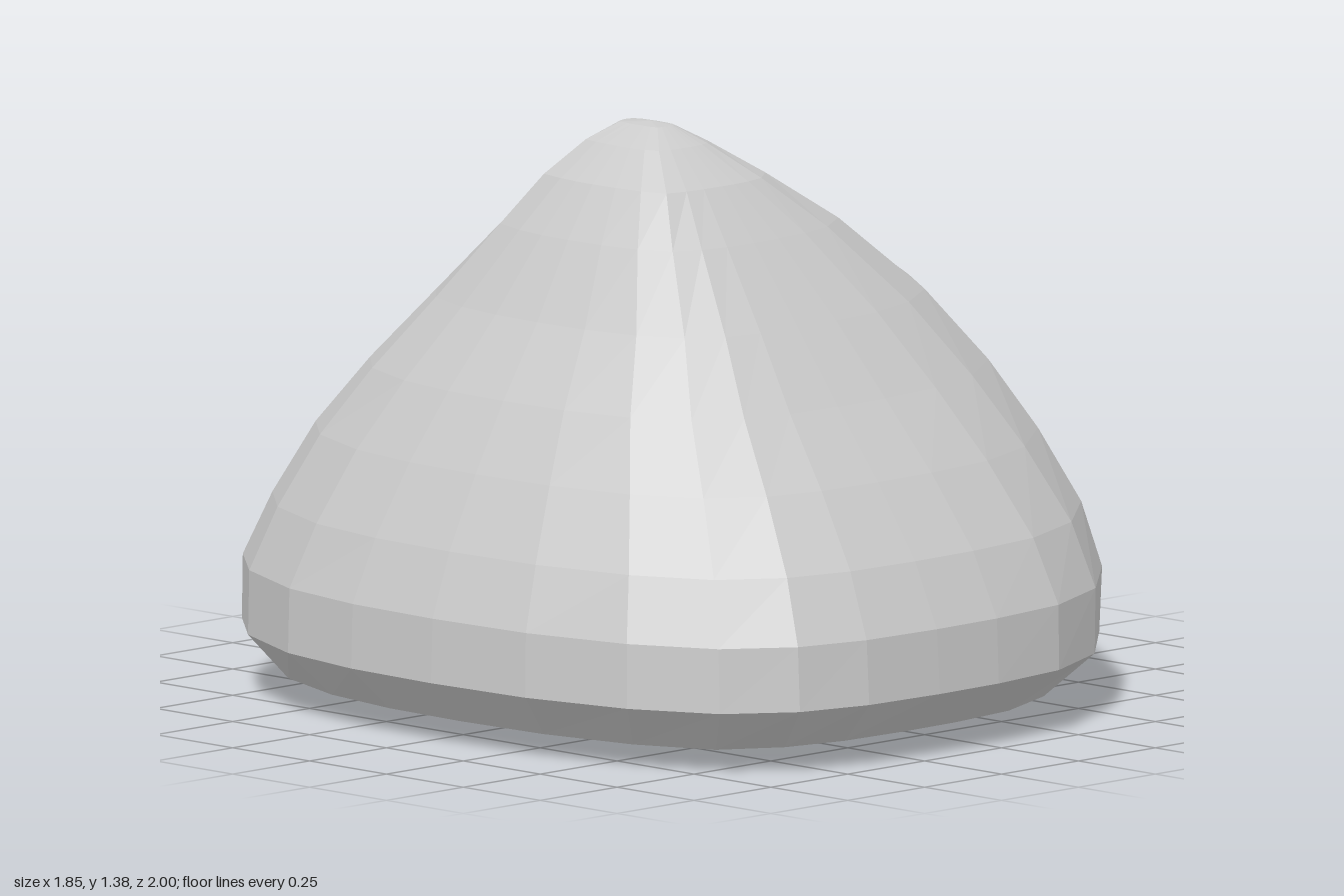
import * as THREE from 'three';

// Plan outline at the widest level, clockwise from the back (x, z)
const OUTLINE = [
  [-0.21, -1], [0, -0.985], [0.21, -0.92], [0.41, -0.78], [0.65, -0.55], [0.86, -0.24],
  [0.92, 0.07], [0.86, 0.37], [0.67, 0.66], [0.45, 0.86], [0.23, 0.96], [0, 0.99],
  [-0.2, 0.995], [-0.42, 0.985], [-0.6, 0.94], [-0.75, 0.83], [-0.85, 0.63], [-0.91, 0.36],
  [-0.925, 0.07], [-0.915, -0.2], [-0.87, -0.45], [-0.76, -0.69], [-0.61, -0.86], [-0.42, -0.965],
];
const CX = -0.21, CZ = 0.07; // the peak sits off centre

// Levels: y, left end (-x), right end (+x), back end (-z), front end (+z), squareness
const LEVELS = [
  [0, CX, CX, CZ, CZ, 0],
  [0.01, -0.64, 0.38, -0.55, 0.64, 0.1],
  [0.05, -0.83, 0.74, -0.87, 0.89, 0.1],
  [0.15, -0.925, 0.9, -1, 1, 0],
  [0.3, -0.92, 0.92, -1, 0.99, 0],
  [0.45, -0.865, 0.88, -0.92, 0.92, 0.02],
  [0.62, -0.78, 0.79, -0.81, 0.8, 0.04],
  [0.78, -0.69, 0.68, -0.66, 0.67, 0.07],
  [0.95, -0.58, 0.51, -0.48, 0.54, 0.12],
  [1.13, -0.48, 0.25, -0.28, 0.4, 0.25],
  [1.25, -0.4, 0.02, -0.15, 0.3, 0.5],
  [1.33, -0.32, -0.11, -0.07, 0.2, 0.5],
  [1.37, -0.25, -0.18, -0.01, 0.13, 0.5],
  [1.376, CX, CX, CZ, CZ, 0],
];

// Scale the outline to a level's ends, pushing it towards a square by s
function ring([y, left, right, back, front, s]) {
  return OUTLINE.map(([x, z]) => {
    const u = x > CX ? (x - CX) / (0.92 - CX) : (x - CX) / (0.925 + CX);
    const v = z > CZ ? (z - CZ) / (0.995 - CZ) : (z - CZ) / (1 + CZ);
    const k = 1 + s * (1 / Math.max(Math.abs(u), Math.abs(v)) - 1);
    return [
      CX + u * k * (u > 0 ? right - CX : CX - left), y,
      CZ + v * k * (v > 0 ? front - CZ : CZ - back),
    ];
  });
}

// Skin neighbouring rings; the end rings shrink to a point
function loft(rings) {
  const n = OUTLINE.length, last = rings.length - 2, pos = [];
  for (let i = 0; i <= last; i++) {
    for (let j = 0; j < n; j++) {
      const k = (j + 1) % n;
      const a = rings[i][j], b = rings[i][k], c = rings[i + 1][j], d = rings[i + 1][k];
      if (i > 0) pos.push(...b, ...a, ...c);
      if (i < last) pos.push(...b, ...c, ...d);
      else continue;
    }
  }
  const geometry = new THREE.BufferGeometry();
  geometry.setAttribute('position', new THREE.Float32BufferAttribute(pos, 3));
  geometry.computeVertexNormals();
  return geometry;
}

export function createModel() {
  const group = new THREE.Group();
  group.name = 'rock';
  const material = new THREE.MeshStandardMaterial({ color: 0xcccccc, flatShading: true });
  const body = new THREE.Mesh(loft(LEVELS.map(ring)), material);
  body.name = 'rockBody';
  group.add(body);
  return group;
}
